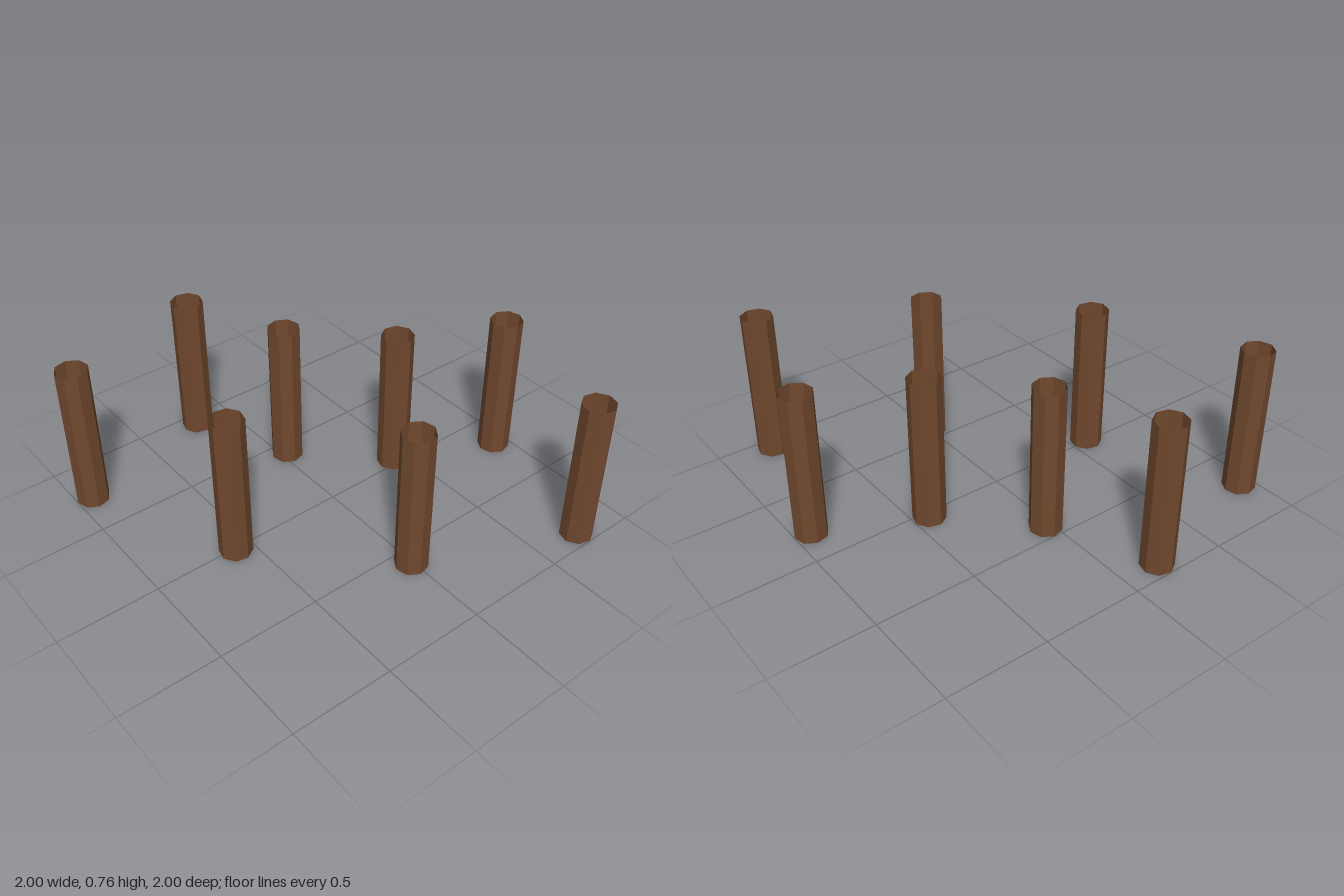
import * as THREE from 'three';

const HEIGHT = 0.757;
const RADIUS = 0.08;

export function createModel() {
  const model = new THREE.Group();
  model.name = 'postCluster';

  const wood = new THREE.MeshStandardMaterial({
    color: 0x70482e,
    flatShading: true,
    side: THREE.DoubleSide,
  });

  // Open-ended eight-sided post, standing on the ground
  const postGeometry = new THREE.CylinderGeometry(RADIUS, RADIUS, HEIGHT, 8, 1, true);
  postGeometry.translate(0, HEIGHT / 2, 0);

  function addPost(name, x, z, turn) {
    const post = new THREE.Mesh(postGeometry, wood);
    post.name = name;
    post.position.set(x, 0, z);
    post.rotation.y = THREE.MathUtils.degToRad(turn);
    model.add(post);
  }

  // Each post has a twin mirrored across the diagonal: (x, z) -> (-z, -x)
  const posts = [
    ['cornerPost', 0.735, 0.92, 8],
    ['outerPost', 0.92, 0.19, -8],
    ['middlePost', -0.01, 0.585, -10],
    ['innerPost', 0.42, -0.035, 8],
  ];
  for (const [name, x, z, turn] of posts) {
    addPost(name + 'Front', x, z, turn);
    addPost(name + 'Back', -z, -x, -turn);
  }

  return model;
}
